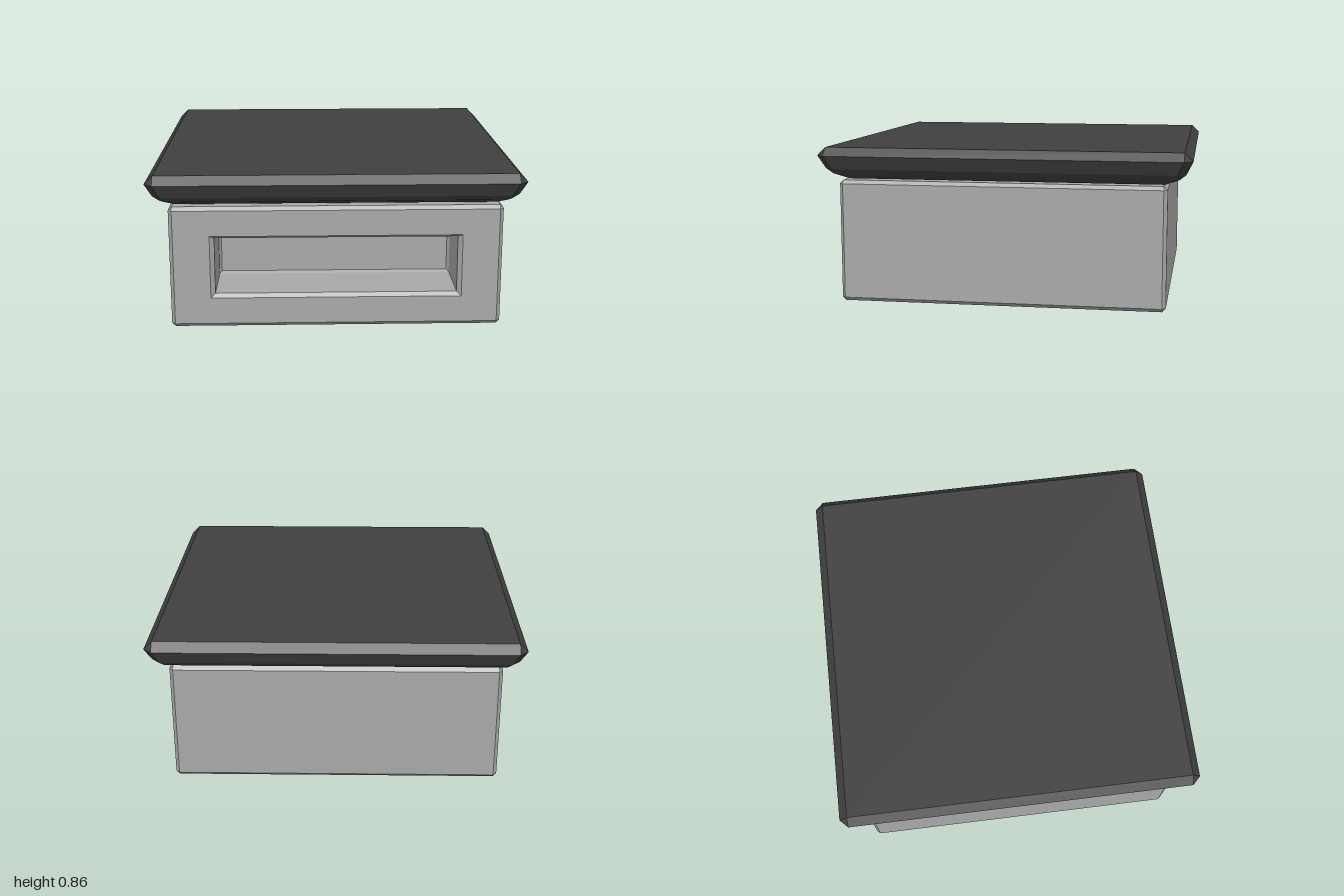
import * as THREE from 'three';

// Closed flat-shaded solid lofted along z through corner-cut rectangles:
// each ring is [z, x0, x1, y0, y1, corner cut]
function loft(rings) {
  const pos = [];
  const loops = rings.map(([z, x0, x1, y0, y1, c]) => [
    [x1, y0 + c], [x1, y1 - c], [x1 - c, y1], [x0 + c, y1],
    [x0, y1 - c], [x0, y0 + c], [x0 + c, y0], [x1 - c, y0],
  ].map(([x, y]) => new THREE.Vector3(x, y, z)));
  const tri = (a, b, c) => {
    const area = b.clone().sub(a).cross(c.clone().sub(a)).length();
    if (area > 1e-9) for (const p of [a, b, c]) pos.push(p.x, p.y, p.z);
  };
  for (let r = 0; r < loops.length - 1; r++) {
    const a = loops[r], b = loops[r + 1];
    for (let i = 0; i < 8; i++) {
      const j = (i + 1) % 8;
      tri(a[i], a[j], b[j]);
      tri(a[i], b[j], b[i]);
    }
  }
  // End caps
  const first = loops[0], last = loops[loops.length - 1];
  for (let i = 1; i < 7; i++) {
    tri(first[0], first[i + 1], first[i]);
    tri(last[0], last[i], last[i + 1]);
  }
  const geo = new THREE.BufferGeometry();
  geo.setAttribute('position', new THREE.Float32BufferAttribute(pos, 3));
  geo.computeVertexNormals();
  return geo;
}

export function createModel() {
  const group = new THREE.Group();
  const stone = new THREE.MeshStandardMaterial({ name: 'lightGrey', color: 0xa8a8a8 });
  const slab = new THREE.MeshStandardMaterial({ name: 'darkGrey', color: 0x404040 });

  // Bevelled body; the loft turns inward at the front to form the recess
  const bodyRing = (z, inset, cut) =>
    [z, -0.89 + inset, 0.89 - inset, inset, 0.67 - inset, cut];
  const holeRing = (z, inset) =>
    [z, -0.675 + inset, 0.675 - inset, 0.165 + inset * 0.85, 0.51 - inset * 0.6, 0];
  const body = new THREE.Mesh(loft([
    bodyRing(-0.87, 0.02, 0),
    bodyRing(-0.85, 0, 0.02),
    bodyRing(0.885, 0, 0.02),
    bodyRing(0.905, 0.02, 0),
    holeRing(0.905, 0),
    holeRing(0.885, 0.024),
    holeRing(0.56, 0.024),
    holeRing(0.54, 0.037),
  ]), stone);
  body.name = 'body';
  group.add(body);

  // Overhanging slab with a curved underside and a bevelled top edge
  const lidRings = [
    [0.677, 0.855, 0], [0.708, 0.93, 0.03], [0.738, 0.965, 0.045],
    [0.81, 1, 0.045], [0.855, 0.955, 0],
  ].map(([h, s, cut]) => [h, -s, s, -s, s, cut]);
  const lid = new THREE.Mesh(loft(lidRings).rotateX(-Math.PI / 2), slab);
  lid.name = 'topSlab';
  group.add(lid);

  return group;
}
